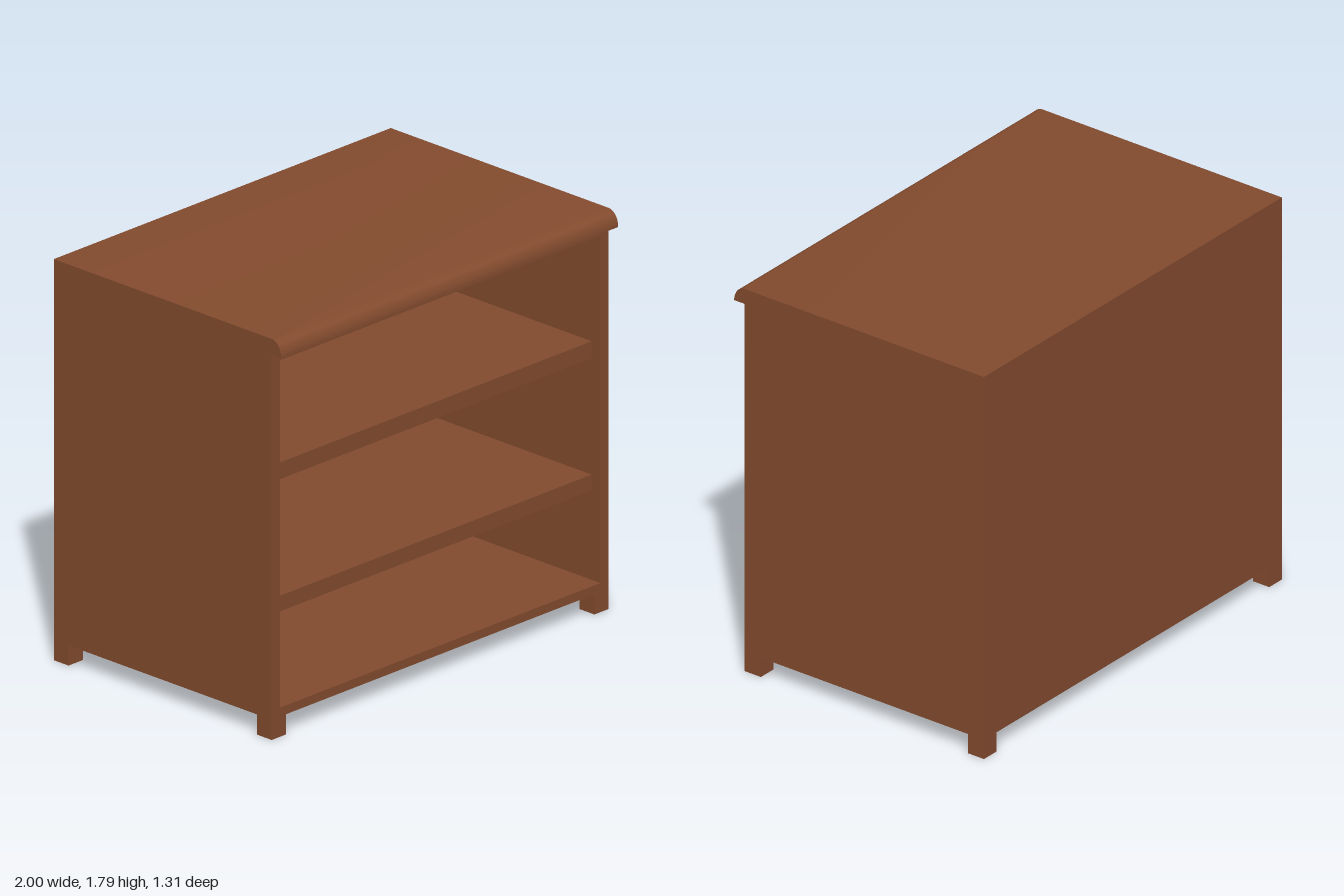
import * as THREE from 'three';
import { toCreasedNormals } from 'three/addons/utils/BufferGeometryUtils.js';

const BACK = -0.655, FRONT = 0.6, NOSE = 0.655;
const FOOT = 0.09, SLAB = 1.72, TOP = 1.79, INNER = 0.95;

export function createModel() {
  const group = new THREE.Group();
  group.name = 'bookcase';
  const wood = new THREE.MeshStandardMaterial({ color: 0x834b2e });
  wood.name = 'brown wood';

  // Box given by its limits on each axis
  const panel = (name, x0, x1, y0, y1, z0, z1) => {
    const mesh = new THREE.Mesh(new THREE.BoxGeometry(x1 - x0, y1 - y0, z1 - z0), wood);
    mesh.position.set((x0 + x1) / 2, (y0 + y1) / 2, (z0 + z1) / 2);
    mesh.name = name;
    group.add(mesh);
  };

  // Carcass
  panel('leftSide', INNER, 1, FOOT, SLAB, BACK, FRONT);
  panel('rightSide', -1, -INNER, FOOT, SLAB, BACK, FRONT);
  panel('bottomPanel', -INNER, INNER, FOOT, 0.13, BACK, FRONT);
  panel('topRail', -INNER, INNER, 1.68, SLAB, BACK, FRONT);
  panel('backPanel', -INNER, INNER, 0.13, 1.68, BACK, BACK + 0.05);

  // Shelves, set back a little from the front
  for (const [name, y0, y1] of [['lowerShelf', 0.53, 0.6], ['upperShelf', 1.12, 1.195]])
    panel(name, -INNER, INNER, y0, y1, BACK + 0.05, FRONT - 0.05);

  // Feet at the four corners
  const size = 0.085;
  for (const [side, x] of [['left', 1 - size], ['right', -1]]) {
    panel(side + 'FrontFoot', x, x + size, 0, FOOT, FRONT - size, FRONT);
    panel(side + 'BackFoot', x, x + size, 0, FOOT, BACK, BACK + size);
  }

  // Worktop with a rounded front nosing; the profile is drawn in (z, y)
  const profile = new THREE.Shape();
  profile.moveTo(BACK, SLAB);
  profile.lineTo(NOSE, SLAB);
  profile.absellipse(FRONT, SLAB, NOSE - FRONT, TOP - SLAB, 0, Math.PI / 2, false);
  profile.lineTo(BACK, TOP);
  const slab = new THREE.ExtrudeGeometry(profile, { depth: 2, bevelEnabled: false, curveSegments: 8 });
  slab.rotateY(-Math.PI / 2).scale(1, 1, 1);
  // After the turn the profile runs along +z and the extrusion along -x
  slab.translate(1, 0, 0);
  const worktop = new THREE.Mesh(toCreasedNormals(slab, Math.PI / 5), wood);
  worktop.name = 'worktop';
  group.add(worktop);

  return group;
}
